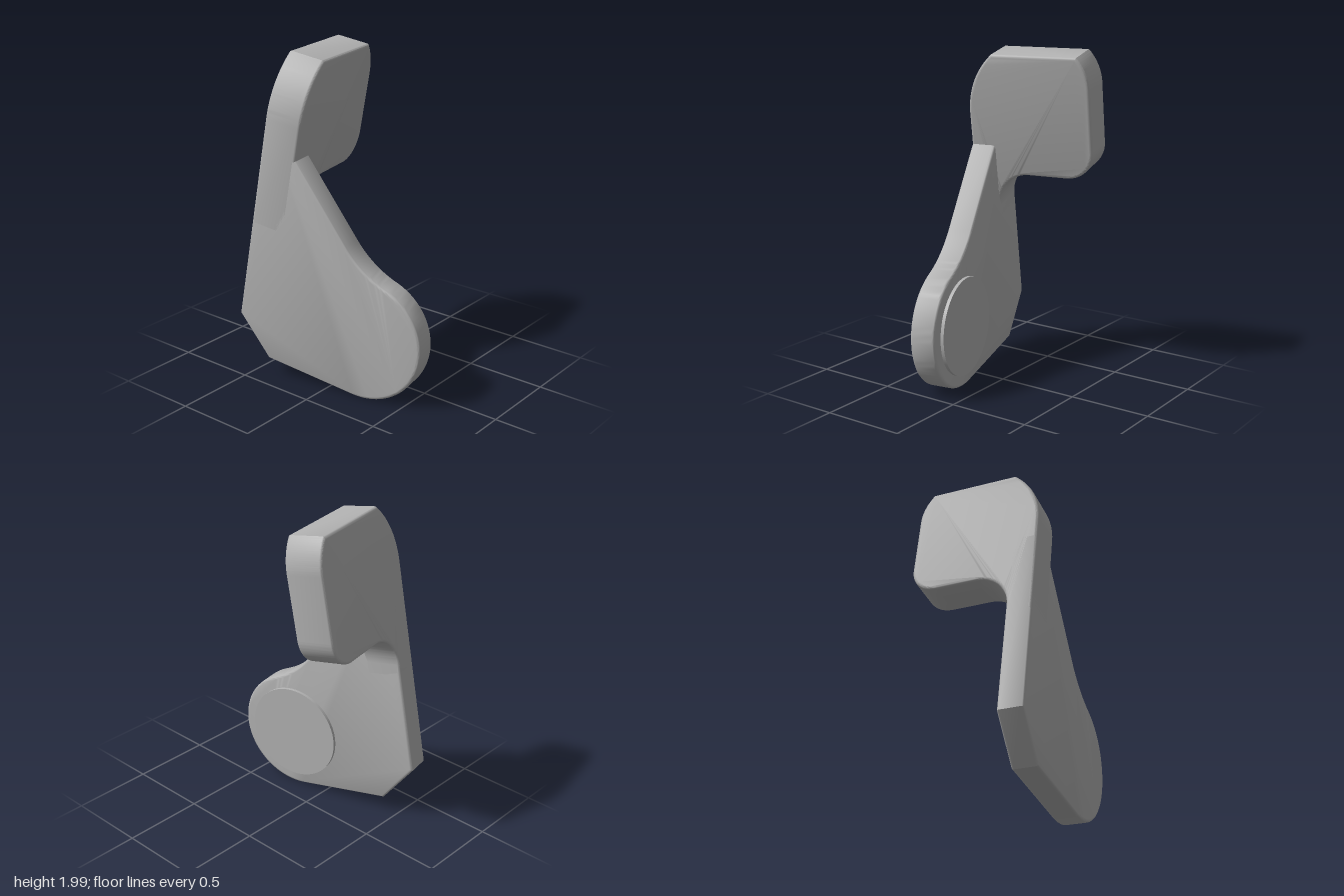
import * as THREE from 'three';
import { toCreasedNormals } from 'three/addons/utils/BufferGeometryUtils.js';

const DEG = Math.PI / 180;
const EDGE = 0.018; // radius of the softened edges

// Extrudes an outline to a total thickness, with rounded edges kept inside the outline.
function roundedSlab(shape, thickness) {
  const geo = new THREE.ExtrudeGeometry(shape, {
    depth: thickness - 2 * EDGE, curveSegments: 20,
    bevelEnabled: true, bevelThickness: EDGE, bevelSize: EDGE, bevelOffset: -EDGE, bevelSegments: 4,
  });
  geo.translate(0, 0, EDGE);
  return toCreasedNormals(geo, 0.6);
}

export function createModel() {
  const grey = new THREE.MeshStandardMaterial({ color: 0xb2b2b2 });
  grey.name = 'plain grey';
  const model = new THREE.Group();
  model.name = 'leverBracket';

  const left = -0.323, inner = -0.165; // plate faces
  const back = -0.71, front = -0.478;  // flange faces
  const hub = { z: 0.122, y: 0.407, r: 0.377 };

  // The whole bracket leans forward and is turned slightly.
  const body = new THREE.Group();
  body.name = 'bracket';
  body.rotation.set(10 * DEG, 10 * DEG, 0, 'YXZ');
  model.add(body);

  const add = (name, geo) => {
    const mesh = new THREE.Mesh(geo, grey);
    mesh.name = name;
    body.add(mesh);
  };

  // Side plate: outline drawn in (z, y), round hub at the lower front
  const side = new THREE.Shape();
  side.moveTo(back, 0.255);
  side.lineTo(-0.47, hub.y - hub.r);
  side.lineTo(hub.z, hub.y - hub.r);
  side.absarc(hub.z, hub.y, hub.r, -90 * DEG, 74 * DEG, false);
  side.quadraticCurveTo(0.05, 0.813, -0.078, 0.941);
  side.lineTo(-0.475, 1.338);
  side.lineTo(-0.6, 1.4);
  side.lineTo(back, 1.4);
  side.closePath();
  const plate = roundedSlab(side, inner - left);
  plate.rotateY(-90 * DEG);
  plate.translate(inner, 0, 0);
  add('sidePlate', plate);

  // Raised round pad on the inner face of the hub
  const pad = new THREE.CylinderGeometry(0.3, 0.3, 0.03, 64);
  pad.rotateZ(90 * DEG);
  pad.translate(inner + 0.005, hub.y, hub.z);
  add('roundPad', pad);

  // Flange: outline drawn in (x, y), with a fillet running down onto the plate
  const top = 1.906, bottom = 1.16, right = 0.465;
  const rFillet = 0.21, rLow = 0.175, rRight = 0.3, rLeft = 0.49;
  const aRight = Math.acos(1 - 0.075 / rRight);
  const aLeft = Math.acos(1 - 0.173 / rLeft);
  const face = new THREE.Shape();
  face.moveTo(left, 0.88);
  face.lineTo(inner, 0.88);
  face.lineTo(inner, bottom - rFillet);
  face.absarc(inner + rFillet, bottom - rFillet, rFillet, 180 * DEG, 90 * DEG, true);
  face.absarc(right - rLow, bottom + rLow, rLow, -90 * DEG, 0, false);
  face.absarc(right - rRight, top - rRight * Math.sin(aRight), rRight, 0, aRight, false);
  face.absarc(left + rLeft, top - rLeft * Math.sin(aLeft), rLeft, Math.PI - aLeft, Math.PI, false);
  face.closePath();
  const flange = roundedSlab(face, front - back);
  flange.translate(0, 0, back);
  add('flange', flange);

  return model;
}
